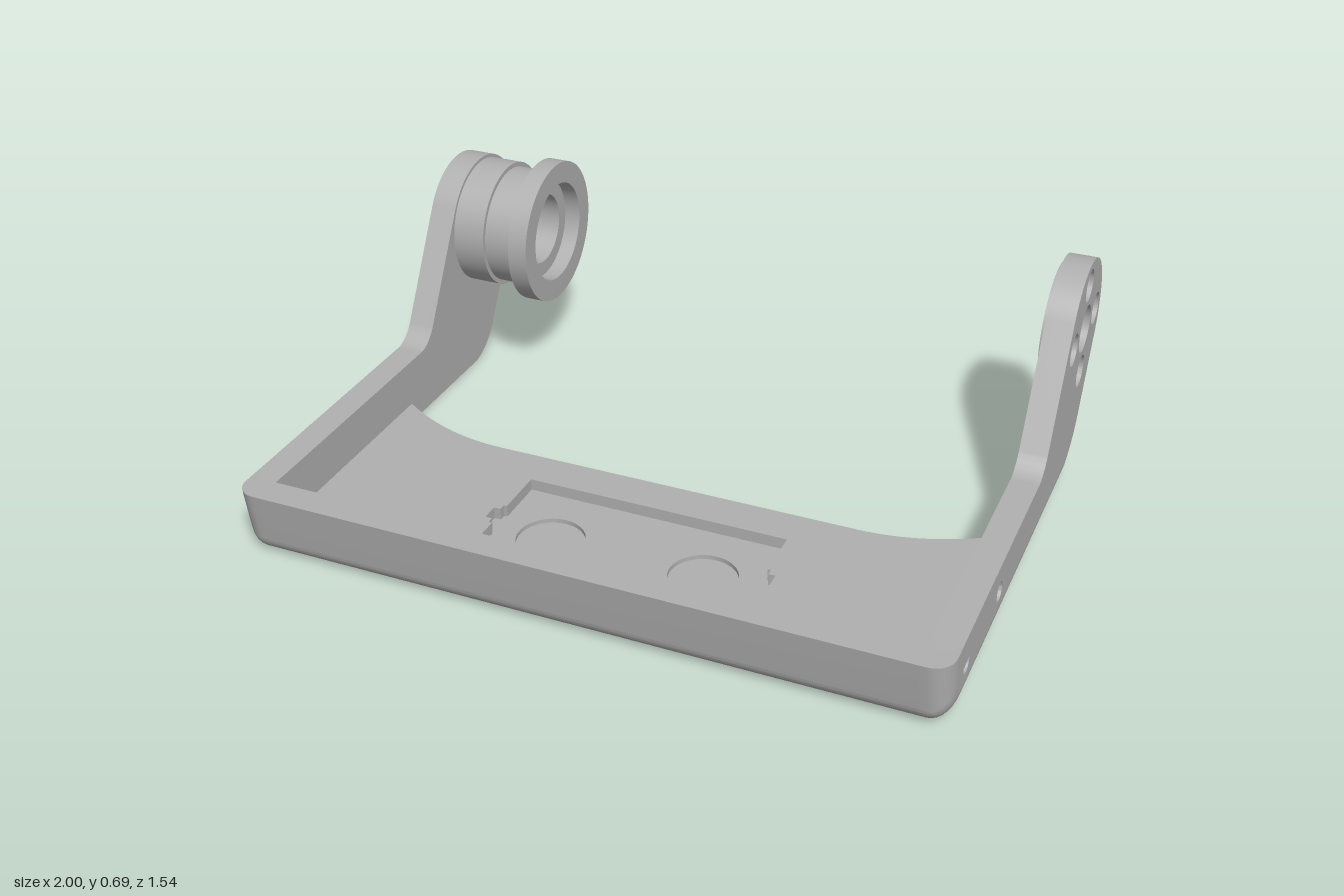
import * as THREE from 'three';
import { toCreasedNormals } from 'three/addons/utils/BufferGeometryUtils.js';

const SEG = 16;
const PIVOT = [0.545, 0.465]; // arm pivot as (-z, y)
const grey = new THREE.MeshStandardMaterial({ color: 0xb0b0b0 });
grey.name = 'satin grey';

function add(parent, name, geometry) {
  const mesh = new THREE.Mesh(geometry, grey);
  mesh.name = name;
  parent.add(mesh);
  return mesh;
}

const circle = (u, v, r) => new THREE.Path().absarc(u, v, r, 0, Math.PI * 2, false);

// Turn a geometry drawn in (-z, y) with depth along +z so its depth runs along +x
const alongX = (geometry) => geometry.rotateY(Math.PI / 2);

// Round a corner from the current point to (x, y) around corner (cx, cy)
function corner(shape, cx, cy, x, y) {
  const p = shape.currentPoint, k = 0.56;
  shape.bezierCurveTo(p.x + (cx - p.x) * k, p.y + (cy - p.y) * k,
    x + (cx - x) * k, y + (cy - y) * k, x, y);
}

// Front edge and lower lip shared by the arms and the front wall; t insets the edge
function frontEdge(t) {
  const s = new THREE.Shape();
  s.moveTo(-0.77 + t, 0.2);
  s.lineTo(-0.75 + t, 0.055 + t);
  corner(s, -0.743 + t, t, -0.685 + t, t);
  return s;
}

// Side outline of an arm
function armOutline(t) {
  const s = frontEdge(t), rear = 0.513 + 0.577 * t;
  s.lineTo(rear - 0.08, t);
  corner(s, rear, t, rear + 0.05, t + 0.0866);
  s.lineTo(0.7225, 0.3625);
  s.absarc(...PIVOT, 0.205, -Math.PI / 6, Math.PI * 5 / 6, false);
  s.lineTo(0.184, 0.25);
  corner(s, 0.155, 0.2, 0.11, 0.2);
  s.closePath();
  return s;
}

// Loft the arm outline through slices [x, inset]
function armSides(slices) {
  const pos = [];
  const rings = slices.map(([x, t]) =>
    armOutline(t).getPoints(SEG).map((p) => [x, p.y, -p.x]));
  for (let j = 0; j + 1 < rings.length; j++) {
    for (let i = 0; i + 1 < rings[j].length; i++) {
      const a = rings[j][i], b = rings[j][i + 1], c = rings[j + 1][i + 1], d = rings[j + 1][i];
      pos.push(...a, ...b, ...c, ...a, ...c, ...d);
    }
  }
  const g = new THREE.BufferGeometry();
  g.setAttribute('position', new THREE.Float32BufferAttribute(pos, 3));
  return toCreasedNormals(g, 0.6);
}

// Flat arm face at x, pointing to +x or -x
function armFace(x, t, holes, side) {
  const s = armOutline(t);
  s.holes = holes;
  const g = alongX(new THREE.ShapeGeometry(s, SEG));
  if (side < 0) {
    const idx = g.index.array;
    for (let i = 0; i < idx.length; i += 3) [idx[i], idx[i + 1]] = [idx[i + 1], idx[i]];
    g.attributes.normal.array.forEach((n, i, arr) => { arr[i] = -n; });
  }
  return g.translate(x, 0, 0);
}

// Turned part about the x axis from [radius, x] pairs, centred on (-z, y)
function turned(points, u, v, segments = SEG * 2) {
  const g = new THREE.LatheGeometry(points.map((p) => new THREE.Vector2(...p)), segments);
  g.rotateZ(-Math.PI / 2).translate(0, v, -u);
  return toCreasedNormals(g.toNonIndexed(), 0.6);
}

const SCREWS = [[-0.612, 0.115], [-0.295, 0.115]];
const BOLTS = [0, 1, 2, 3].map((i) => [
  PIVOT[0] + 0.137 * Math.cos(i * Math.PI / 2),
  PIVOT[1] + 0.137 * Math.sin(i * Math.PI / 2),
]);
const screwHoles = () => SCREWS.map(([u, v]) => circle(u, v, 0.028));
const boltHoles = (r) => [circle(...PIVOT, 0.07), ...BOLTS.map(([u, v]) => circle(u, v, r))];

function buildArm(side) {
  const arm = new THREE.Group();
  arm.name = side > 0 ? 'leftArm' : 'rightArm';
  const slices = [[0.92, 0]];
  for (let i = 0; i <= 8; i++) {
    const a = (i / 8) * Math.PI / 2;
    slices.push([0.94 + 0.06 * Math.sin(a), 0.06 * (1 - Math.cos(a))]);
  }
  const placed = side > 0 ? slices : slices.map(([x, t]) => [-x, t]).reverse();
  add(arm, 'armEdge', armSides(placed));
  const outer = side > 0 ? [...screwHoles(), ...boltHoles(0.048)] : screwHoles();
  add(arm, 'armOuterFace', armFace(side, 0.06, outer, side));
  add(arm, 'armInnerFace', armFace(side * 0.92, 0, side > 0 ? boltHoles(0.024) : [], -side));
  // Blind screw holes in the outer face
  const bore = [[0.028, side], [0.028, side * 0.95], [0, side * 0.95]];
  if (side < 0) bore.reverse();
  SCREWS.forEach(([u, v]) => add(arm, 'screwHole', turned(bore, u, v)));
  return arm;
}

// Flat slab drawn in (x, -z), raised from y0 to y1
function floorLayer(y0, y1, holes) {
  const s = new THREE.Shape();
  s.moveTo(-0.92, -0.668);
  s.lineTo(0.92, -0.668);
  s.lineTo(0.92, 0.03);
  s.quadraticCurveTo(0.74, -0.09, 0.55, -0.09);
  s.lineTo(-0.55, -0.09);
  s.quadraticCurveTo(-0.74, -0.09, -0.92, 0.03);
  s.closePath();
  s.holes = holes;
  const g = new THREE.ExtrudeGeometry(s, { depth: y1 - y0, bevelEnabled: false, curveSegments: SEG });
  g.rotateX(-Math.PI / 2).translate(0, y0, 0);
  return toCreasedNormals(g, 0.5);
}

export function createModel() {
  const model = new THREE.Group();
  model.name = 'trayBracket';
  model.add(buildArm(1), buildArm(-1));

  // Leaning front wall
  const wall = frontEdge(0);
  wall.lineTo(-0.665, 0);
  wall.lineTo(-0.665, 0.06);
  wall.lineTo(-0.685, 0.2);
  wall.closePath();
  const wallGeo = new THREE.ExtrudeGeometry(wall, { depth: 1.84, bevelEnabled: false, curveSegments: SEG });
  add(model, 'frontWall', toCreasedNormals(alongX(wallGeo).translate(-0.92, 0, 0), 0.6));

  // Floor with a notched pocket and two round recesses
  const half = [[0.39, -0.53], [0.39, -0.45], [0.4, -0.45], [0.4, -0.43], [0.42, -0.43],
    [0.42, -0.38], [0.4, -0.38], [0.4, -0.36], [0.39, -0.36], [0.39, -0.21]];
  const pocketPoints = [...half, ...half.map(([x, y]) => [-x, y]).reverse()];
  const pocket = new THREE.Path(pocketPoints.map((p) => new THREE.Vector2(...p)));
  pocket.closePath();
  add(model, 'floorBase', floorLayer(0, 0.012, []));
  add(model, 'floorRecesses', floorLayer(0.012, 0.025,
    [circle(-0.23, -0.41, 0.097), circle(0.225, -0.41, 0.097)]));
  add(model, 'floorPocket', floorLayer(0.025, 0.06, [pocket]));

  // Thin pivot boss on the inside of the left arm
  const disc = new THREE.Shape().absarc(...PIVOT, 0.182, 0, Math.PI * 2, false);
  disc.holes = boltHoles(0.024);
  const boss = new THREE.ExtrudeGeometry(disc, { depth: 0.01, bevelEnabled: false, curveSegments: SEG * 2 });
  add(model, 'pivotBoss', toCreasedNormals(alongX(boss).translate(0.91, 0, 0), 0.5));

  // Pivot bore and counterbored bolt holes
  add(model, 'pivotBore', turned([[0.07, 1], [0.07, 0.91]], ...PIVOT));
  BOLTS.forEach(([u, v]) => add(model, 'boltHole',
    turned([[0.048, 1], [0.048, 0.96], [0.024, 0.96], [0.024, 0.91]], u, v)));

  // Hollow stepped spool on the right arm
  add(model, 'spool', turned([[0.195, -0.92], [0.195, -0.82], [0.181, -0.82], [0.181, -0.72],
    [0.222, -0.72], [0.222, -0.66], [0.155, -0.66], [0.155, -0.71], [0.11, -0.71],
    [0.11, -0.915], [0, -0.915]], ...PIVOT, 64));
  return model;
}
